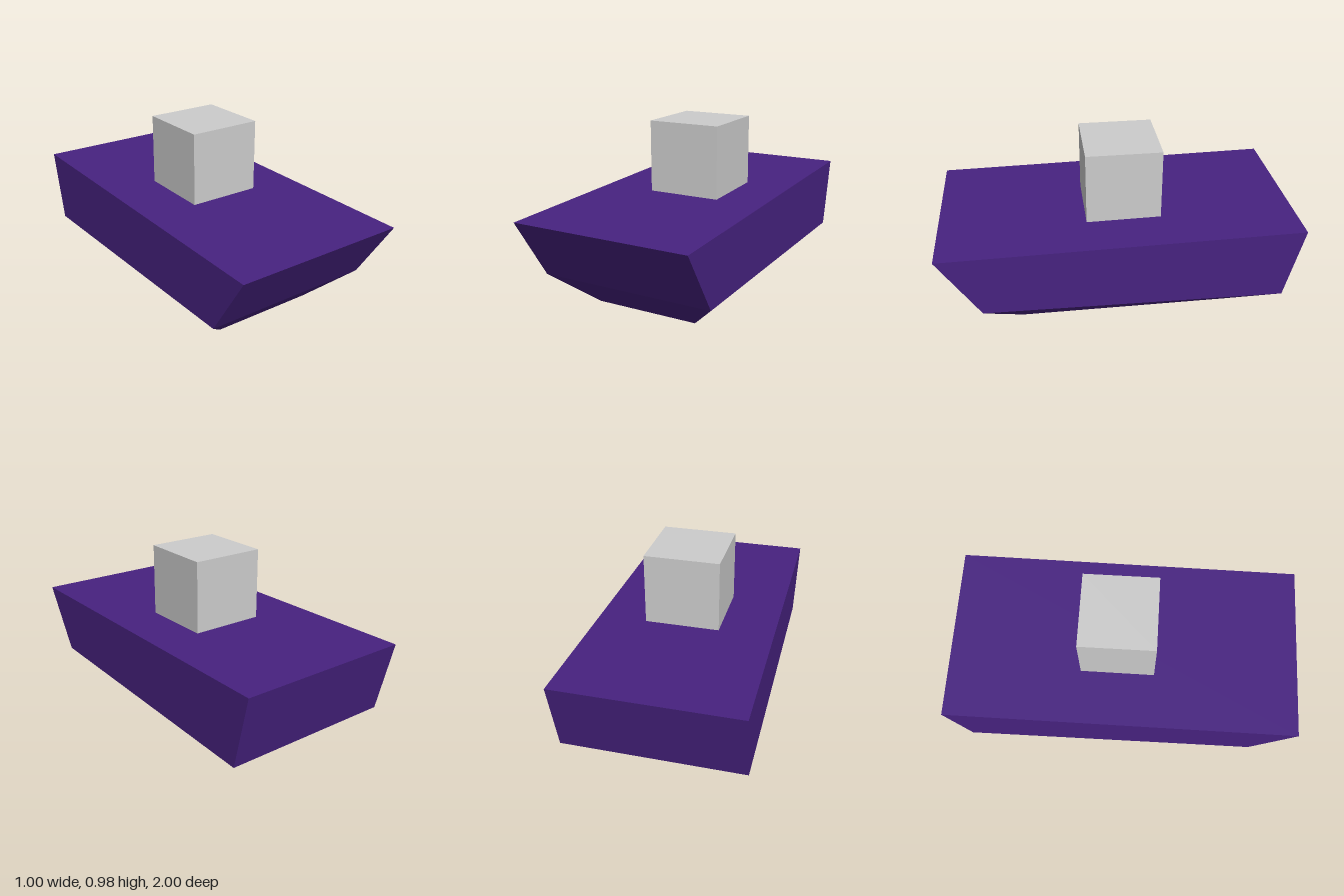
import * as THREE from 'three';

// Rectangular hull section: half width, then height and z at bow and stern
const SECTIONS = [
  { w: 0.3, bow: [0, 0.565], stern: [0, -0.63] }, // keel
  { w: 0.5, bow: [0.2, 0.775], stern: [0.172, -0.905] }, // chine
  { w: 0.5, bow: [0.555, 1], stern: [0.583, -1] }, // deck edge
];

function hullGeometry() {
  const rings = SECTIONS.map(({ w, bow, stern }) => [
    [-w, ...bow], [w, ...bow], [w, ...stern], [-w, ...stern],
  ]);
  const positions = [];
  const quad = (a, b, c, d) => positions.push(...a, ...b, ...c, ...a, ...c, ...d);

  // Side bands between neighbouring sections
  for (let r = 0; r < rings.length - 1; r++) {
    const lo = rings[r], hi = rings[r + 1];
    for (let i = 0; i < 4; i++) {
      const j = (i + 1) % 4;
      quad(lo[i], lo[j], hi[j], hi[i]);
    }
  }
  // Deck and flat bottom
  quad(...rings[rings.length - 1]);
  quad(...[...rings[0]].reverse());

  const geometry = new THREE.BufferGeometry();
  geometry.setAttribute('position', new THREE.Float32BufferAttribute(positions, 3));
  geometry.computeVertexNormals();
  return geometry;
}

export function createModel() {
  const purple = new THREE.MeshStandardMaterial({ color: 0x472280 });
  purple.name = 'hullPurple';
  const grey = new THREE.MeshStandardMaterial({ color: 0xcccccc });
  grey.name = 'cabinGrey';

  const model = new THREE.Group();
  model.name = 'boat';

  const hull = new THREE.Mesh(hullGeometry(), purple);
  hull.name = 'hull';

  // Cabin cube, slightly off centre and sunk into the sloping deck
  const cabin = new THREE.Mesh(new THREE.BoxGeometry(0.42, 0.42, 0.42), grey);
  cabin.name = 'cabin';
  cabin.position.set(0.016, 0.766, -0.032);

  model.add(hull, cabin);
  return model;
}
